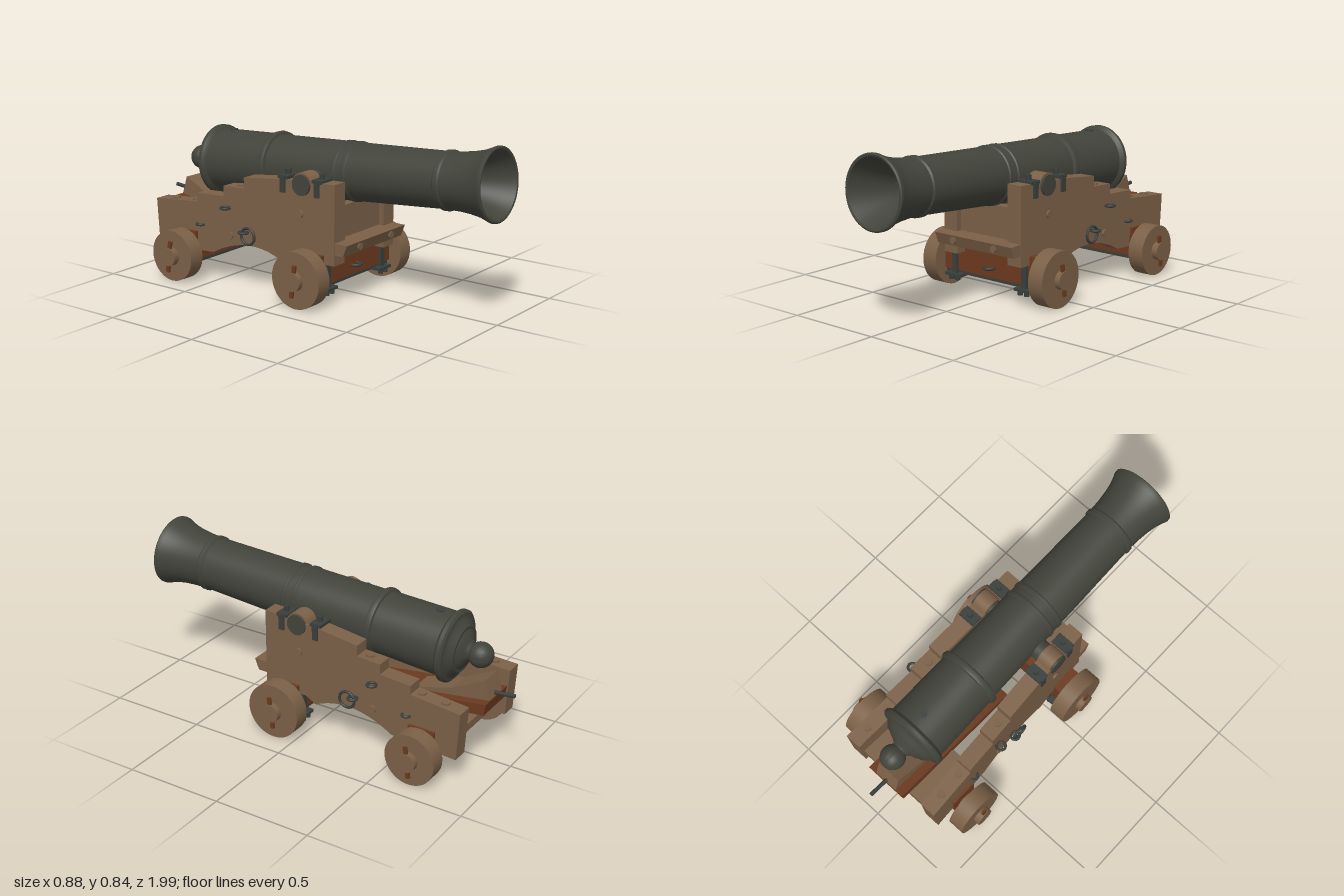
import * as THREE from 'three';
import { toCreasedNormals } from 'three/addons/utils/BufferGeometryUtils.js';

const material = (name, color) => {
  const m = new THREE.MeshStandardMaterial({ color });
  m.name = name;
  return m;
};

export function createModel() {
  const barrelIron = material('barrel iron', 0x42443b);
  const fittingIron = material('fitting iron', 0x393f3c);
  const wood = material('carriage wood', 0x7b6047);
  const redWood = material('red axle wood', 0x6c3a20);
  const black = material('bore black', 0x0c0c0d);

  const model = new THREE.Group();
  model.name = 'cannon';
  const Q = Math.PI / 2;

  const add = (parent, name, geo, mat, [x, y, z] = [0, 0, 0], [rx, ry, rz] = [0, 0, 0]) => {
    const m = new THREE.Mesh(geo, mat);
    m.name = name;
    m.position.set(x, y, z);
    m.rotation.set(rx, ry, rz);
    parent.add(m);
    return m;
  };
  const group = (name) => {
    const g = new THREE.Group();
    g.name = name;
    model.add(g);
    return g;
  };
  const box = (w, h, d) => new THREE.BoxGeometry(w, h, d);
  const cyl = (r, h, n = 20) => new THREE.CylinderGeometry(r, r, h, n);
  const ring = (r, t) => new THREE.TorusGeometry(r, t, 8, 20);
  // Side profile in (z, y), extruded across x and centred on x = 0
  const slab = (shape, width) => {
    const g = new THREE.ExtrudeGeometry(shape, { depth: width, bevelEnabled: false, curveSegments: 16 });
    return g.translate(0, 0, -width / 2).rotateY(-Q);
  };
  const shapeOf = (pts) => new THREE.Shape(pts.map(([z, y]) => new THREE.Vector2(z, y)));
  // Lathe from (radius, position along the axis), turned to lie along z
  const lathe = (pts) => toCreasedNormals(
    new THREE.LatheGeometry(pts.map(([r, l]) => new THREE.Vector2(r, l)), 48).rotateX(Q), 0.6);

  // ---- Barrel, slightly raised at the muzzle ----
  const barrel = group('barrel');
  barrel.position.set(0.011, 0.606, 0);
  barrel.rotation.x = -0.061;
  const profile = [];
  for (let i = 0; i <= 10; i++) { // knob
    const a = -Q + i * 0.24;
    profile.push([0.063 * Math.cos(a), -0.82 + 0.063 * Math.sin(a)]);
  }
  profile[0][0] = 0;
  profile.push(
    [0.046, -0.768], [0.06, -0.757], [0.085, -0.748], [0.1, -0.735], [0.115, -0.735],
    [0.14, -0.71], [0.155, -0.7], [0.168, -0.7], [0.18, -0.69], [0.18, -0.672],
    [0.168, -0.66], [0.16, -0.655], [0.155, -0.31], [0.166, -0.305], [0.17, -0.29],
    [0.166, -0.275], [0.152, -0.27], [0.146, 0.13], [0.151, 0.135], [0.151, 0.15], [0.145, 0.155],
    [0.144, 0.19], [0.149, 0.195], [0.149, 0.21], [0.143, 0.215], [0.136, 0.705], [0.144, 0.712],
    [0.144, 0.732], [0.137, 0.74], [0.14, 0.8], [0.147, 0.86], [0.158, 0.915], [0.172, 0.955],
    [0.179, 0.97], [0.179, 0.98], [0.172, 0.985], [0.163, 0.982], [0.145, 0.945], [0.122, 0.89],
    [0.1, 0.83], [0.085, 0.78], [0.076, 0.73]);
  add(barrel, 'barrel body', lathe(profile), barrelIron);
  add(barrel, 'bore', lathe([[0.076, 0.73], [0.076, 0.3], [0, 0.3]]), black);
  add(barrel, 'vent', cyl(0.02, 0.012), fittingIron, [0, 0.158, -0.59]);
  add(model, 'trunnions', cyl(0.052, 0.53, 28), barrelIron, [0, 0.58, 0.05], [0, 0, Q]);

  // ---- Cheeks, spreading towards the rear ----
  const centreX = (z) => 0.205 + (0.24 - z) * 0.042;
  const outerX = (z) => centreX(z) + 0.0425;
  const cheekShape = shapeOf([[0.24, 0.205], [0.24, 0.605], [-0.06, 0.595], [-0.3, 0.57], [-0.3, 0.515],
    [-0.43, 0.51], [-0.43, 0.457], [-0.6, 0.45], [-0.6, 0.405], [-0.87, 0.385], [-0.855, 0.14], [-0.5, 0.155]]);
  cheekShape.quadraticCurveTo(-0.27, 0.285, -0.06, 0.175);
  cheekShape.lineTo(0, 0.205);
  for (const s of [-1, 1]) {
    const geo = slab(cheekShape, 0.085);
    const p = geo.attributes.position;
    for (let i = 0; i < p.count; i++) p.setX(i, p.getX(i) + s * centreX(p.getZ(i)));
    geo.computeVertexNormals();
    const cheek = group(s > 0 ? 'left cheek' : 'right cheek');
    add(cheek, 'cheek board', geo, wood);

    // Trunnion cap with its straps and bolts
    const capX = s * centreX(0.05);
    add(cheek, 'trunnion cap', cyl(0.06, 0.08, 28), wood, [capX, 0.58, 0.05], [0, 0, Q]);
    for (const z of [0.14, -0.06]) {
      const x = s * centreX(z);
      add(cheek, 'cap strap', box(0.092, 0.016, 0.06), fittingIron, [x, 0.606, z]);
      add(cheek, 'strap bolt', cyl(0.014, 0.04, 8), fittingIron, [x, 0.62, z]);
      add(cheek, 'strap side plate', box(0.012, 0.08, 0.03), fittingIron, [s * (outerX(z) + 0.003), 0.57, z]);
    }
    // Wooden plugs on the steps and the sides
    for (const [z, y] of [[-0.77, 0.394], [-0.64, 0.404], [-0.35, 0.515]])
      add(cheek, 'step bolt', cyl(0.02, 0.014, 12), wood, [s * centreX(z), y, z]);
    for (const [z, y] of [[0.04, 0.435], [-0.39, 0.26]])
      add(cheek, 'side bolt', cyl(0.02, 0.02, 12), wood, [s * outerX(z), y, z], [0, 0, Q]);
    // Eye bolts and the hanging breeching ring
    add(cheek, 'upper eye', ring(0.022, 0.007), fittingIron, [s * (outerX(-0.4) + 0.025), 0.405, -0.4], [Q, 0, 0]);
    add(cheek, 'lower eye', ring(0.02, 0.007), fittingIron, [s * outerX(-0.58), 0.29, -0.58], [Q, 0, 0]);
    add(cheek, 'ring eye', ring(0.022, 0.007), fittingIron, [s * (outerX(-0.29) + 0.022), 0.295, -0.29], [Q, 0, 0]);
    add(cheek, 'hanging ring', ring(0.042, 0.007), fittingIron, [s * (outerX(-0.26) + 0.025), 0.28, -0.26], [0, Q, 0]);
  }

  // ---- Front boards between the cheeks ----
  add(model, 'front transom', box(0.335, 0.22, 0.1), wood, [0, 0.37, 0.16]);
  add(model, 'front shelf', slab(shapeOf([[0.2, 0.26], [0.29, 0.26], [0.312, 0.318], [0.2, 0.32]]), 0.49), wood);
  for (const x of [-0.13, 0.13])
    add(model, 'shelf bolt', cyl(0.018, 0.02, 8), wood, [x, 0.292, 0.303], [Q, 0, 0]);

  // ---- Bed and elevating wedge ----
  add(model, 'rear bed board', box(0.43, 0.04, 0.3), wood, [0, 0.255, -0.7]);
  add(model, 'bed plank', slab(shapeOf([[-0.895, 0.3], [-0.15, 0.22], [-0.15, 0.26], [-0.905, 0.36]]), 0.22), redWood);
  add(model, 'elevating wedge', slab(shapeOf([[-0.9, 0.36], [-0.5, 0.306], [-0.5, 0.315], [-0.7, 0.37], [-0.87, 0.455]]), 0.13), wood);
  add(model, 'wedge handle', cyl(0.01, 0.13, 10), fittingIron, [0, 0.378, -0.935], [-Q + 0.1, 0, 0]);

  // ---- Axles and wheels ----
  const axles = [
    { name: 'front', z: 0.11, y: 0.143, r: 0.142, inner: 0.3, end: 0.415, face: 1 },
    { name: 'rear', z: -0.67, y: 0.134, r: 0.131, inner: 0.32, end: 0.438, face: -1 },
  ];
  for (const a of axles) {
    const g = group(a.name + ' axle');
    add(g, 'axle beam', box(0.6, 0.15, 0.14), redWood, [0, 0.175, a.z]);
    add(g, 'axle plate', box(0.6, 0.018, 0.12), fittingIron, [0, 0.09, a.z]);
    add(g, 'axle arms', cyl(0.047, a.end * 2, 24), wood, [0, a.y, a.z], [0, 0, Q]);
    add(g, 'axle ring', ring(0.026, 0.008), fittingIron, [0, 0.15, a.z + a.face * 0.078], [Q, 0, 0]);
    for (const s of [-1, 1]) {
      const wheel = new THREE.CylinderGeometry(a.r, a.r, 0.085, 40);
      add(g, 'wheel', wheel, wood, [s * (a.inner + 0.0425), a.y, a.z], [0, 0, Q]);
      add(g, 'linchpin', box(0.012, 0.165, 0.02), redWood, [s * (a.end - 0.012), a.y, a.z], [0.12, 0, 0]);
      if (a.face < 0) continue;
      // Clamp plate and bolts beneath the front axle
      add(g, 'axle clamp', box(0.1, 0.014, 0.2), fittingIron, [s * 0.225, 0.08, a.z]);
      for (const dz of [-0.085, 0.085]) {
        add(g, 'clamp rod', box(0.03, 0.13, 0.015), fittingIron, [s * 0.225, 0.14, a.z + dz * 0.9]);
        for (const x of [0.205, 0.245])
          add(g, 'clamp bolt', cyl(0.014, 0.03, 6), fittingIron, [s * x, 0.068, a.z + dz]);
      }
    }
  }
  return model;
}
